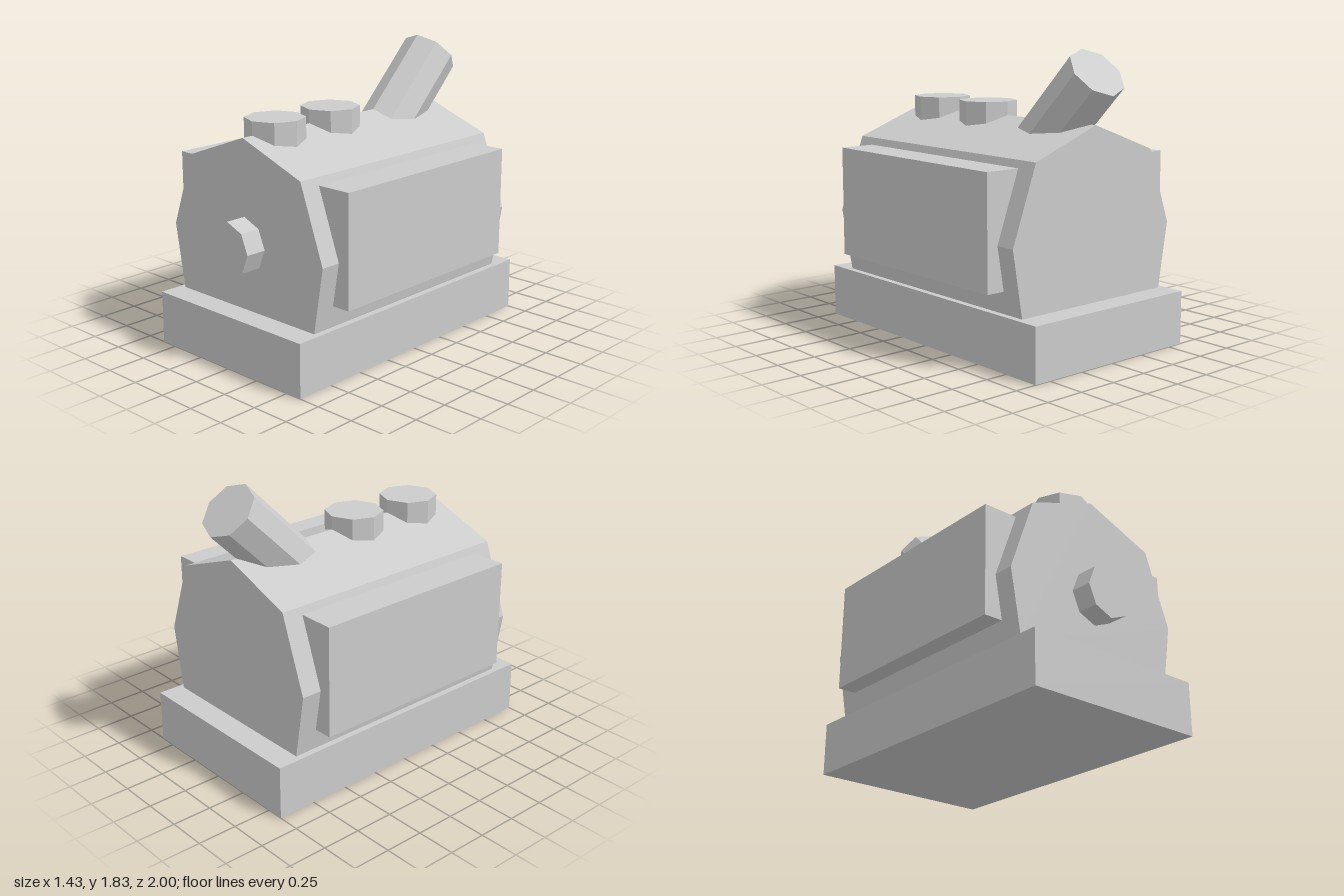
import * as THREE from 'three';

export function createModel() {
  const group = new THREE.Group();
  const material = new THREE.MeshStandardMaterial({ color: 0xcccccc, flatShading: true });

  function add(name, geometry, x, y, z, tilt = 0) {
    const mesh = new THREE.Mesh(geometry, material);
    mesh.name = name;
    mesh.position.set(x, y, z);
    mesh.rotation.x = tilt;
    group.add(mesh);
  }
  const octagon = (radius, length) => new THREE.CylinderGeometry(radius, radius, length, 8);

  // Base slab
  add('base', new THREE.BoxGeometry(1.22, 0.335, 2), 0, 0.1675, 0);

  // Faceted body with a ridged top, extruded front to back
  const profile = new THREE.Shape([
    [-0.57, 0.335], [0.57, 0.335], [0.64, 0.745], [0.47, 1.215],
    [0, 1.39], [-0.47, 1.215], [-0.64, 0.745],
  ].map(([x, y]) => new THREE.Vector2(x, y)));
  add('body', new THREE.ExtrudeGeometry(profile, { depth: 1.69, bevelEnabled: false }), 0, 0, -0.845);

  // Side boxes, sunk into the body
  for (const [name, side] of [['leftSideBox', 1], ['rightSideBox', -1]]) {
    add(name, new THREE.BoxGeometry(0.315, 0.695, 1.43), side * 0.5575, 0.8225, 0);
  }

  // Round caps along the ridge
  [0.585, 0.115].forEach((z, i) => add('topCap' + (i + 1), octagon(0.184, 0.255), 0, 1.3475, z));

  // Front hub
  add('frontHub', octagon(0.17, 0.18), 0, 0.745, 0.89, Math.PI / 2);

  // Exhaust pipe leaning backwards
  add('exhaustPipe', octagon(0.184, 0.7), 0, 1.4475, -0.6025, -Math.PI / 4);

  return group;
}
